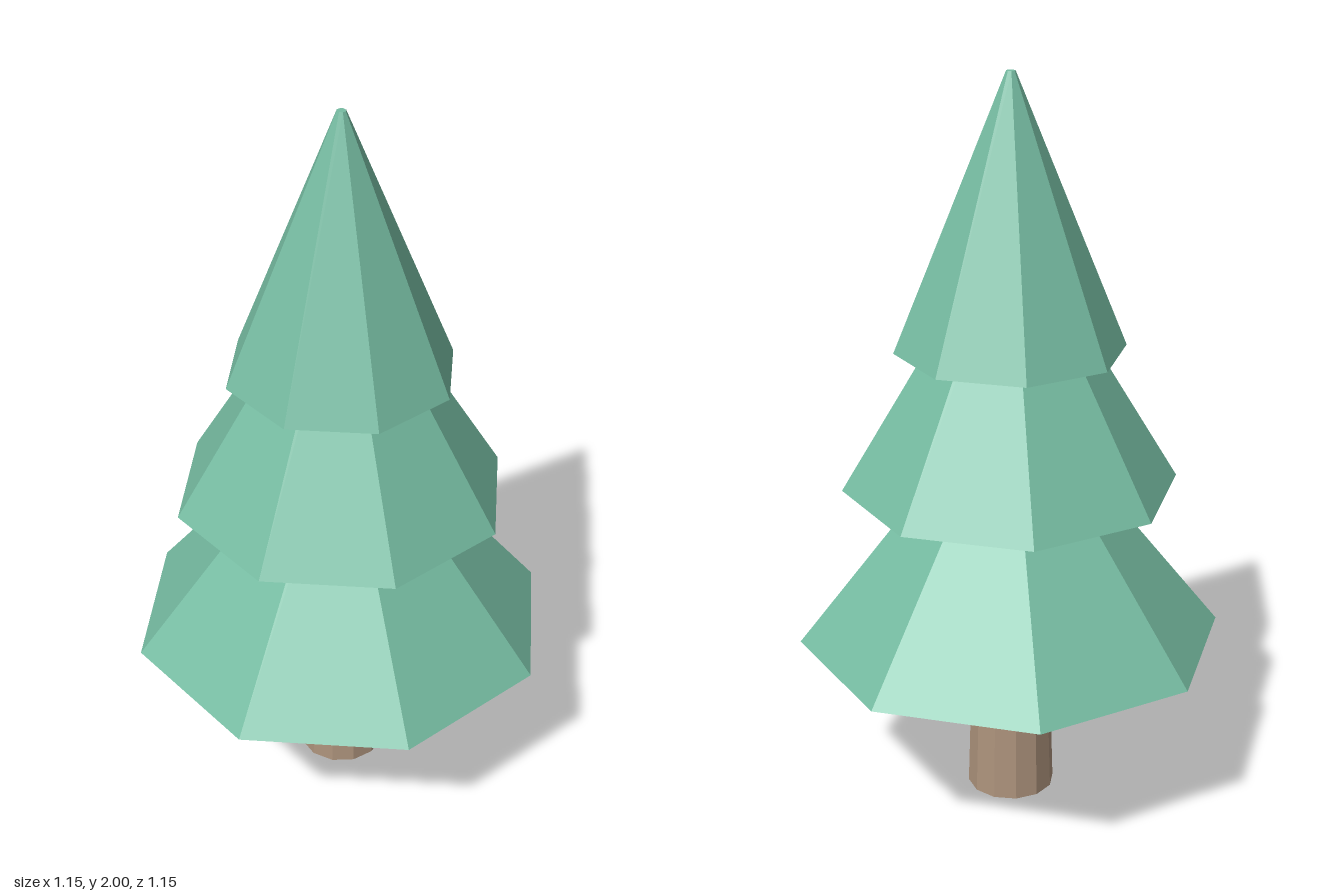
import * as THREE from 'three';

export function createModel() {
  const tree = new THREE.Group();
  tree.name = 'pineTree';

  const needles = new THREE.MeshStandardMaterial({ color: 0x76bca2, flatShading: true });
  needles.name = 'needle green';
  const bark = new THREE.MeshStandardMaterial({ color: 0xad937c, flatShading: true });
  bark.name = 'bark brown';

  // Tapered, faceted frustum standing between two heights
  function addFrustum(name, material, sides, bottomRadius, topRadius, bottomY, topY) {
    const height = topY - bottomY;
    const geometry = new THREE.CylinderGeometry(topRadius, bottomRadius, height, sides);
    const mesh = new THREE.Mesh(geometry, material);
    mesh.name = name;
    mesh.position.y = bottomY + height / 2;
    tree.add(mesh);
  }

  // Trunk, its top tucked just inside the lowest branches
  addFrustum('trunk', bark, 12, 0.12, 0.104, 0, 0.5);

  // Three octagonal tiers of branches, each rising inside the one above
  addFrustum('lowerBranches', needles, 8, 0.577, 0.02, 0.467, 1.17);
  addFrustum('middleBranches', needles, 8, 0.45, 0.02, 0.905, 1.62);
  addFrustum('upperBranches', needles, 8, 0.306, 0.012, 1.28, 2);

  return tree;
}
